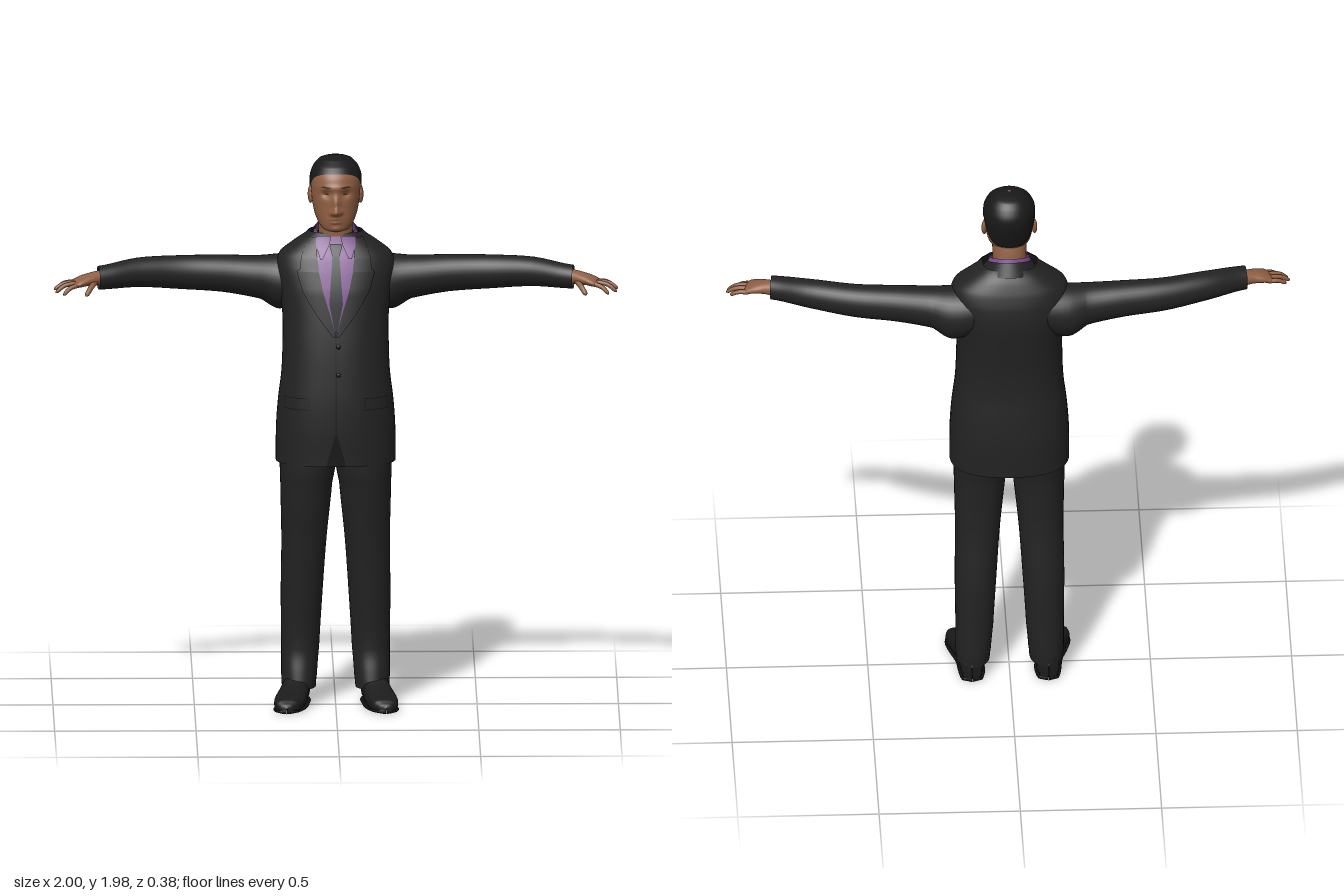
import * as THREE from 'three';

const mat = (name, color, side = THREE.FrontSide) => {
  const m = new THREE.MeshStandardMaterial({ color, side });
  m.name = name;
  return m;
};

// Value of a table of rows at key k (first column), smooth or linear between rows
function at(rows, k, smooth = true) {
  let i = 0;
  while (i < rows.length - 2 && (k - rows[i][0]) * (k - rows[i + 1][0]) > 0) i++;
  const b = rows[i], c = rows[i + 1];
  const a = rows[Math.max(i - 1, 0)], d = rows[Math.min(i + 2, rows.length - 1)];
  const t = THREE.MathUtils.clamp((k - b[0]) / (c[0] - b[0]), 0, 1);
  return b.map((v, j) => {
    if (j === 0) return k;
    if (!smooth) return v + (c[j] - v) * t;
    const m0 = (c[j] - a[j]) / 2, m1 = (d[j] - v) / 2, t2 = t * t, t3 = t2 * t;
    return (2 * t3 - 3 * t2 + 1) * v + (t3 - 2 * t2 + t) * m0 + (3 * t2 - 2 * t3) * c[j] + (t3 - t2) * m1;
  });
}

// Key at fraction v of the table, with equal steps per row
function keyAt(rows, v) {
  const f = v * (rows.length - 1), i = Math.min(Math.floor(f), rows.length - 2);
  return rows[i][0] + (rows[i + 1][0] - rows[i][0]) * (f - i);
}

// Surface from a function of (u, v); wrap joins the u ends smoothly
function surface(name, material, nu, nv, wrap, fn) {
  const pos = [], index = [], cols = wrap ? nu : nu + 1;
  for (let j = 0; j <= nv; j++) for (let i = 0; i < cols; i++) pos.push(...fn(i / nu, j / nv));
  for (let j = 0; j < nv; j++) for (let i = 0; i < nu; i++) {
    const a = j * cols + i, b = j * cols + (i + 1) % cols;
    index.push(a, a + cols, b, b, a + cols, b + cols);
  }
  const g = new THREE.BufferGeometry();
  g.setAttribute('position', new THREE.Float32BufferAttribute(pos, 3));
  g.setIndex(index);
  g.computeVertexNormals();
  const mesh = new THREE.Mesh(g, material);
  mesh.name = name;
  return mesh;
}

const pow = (v, p) => Math.sign(v) * Math.abs(v) ** p;

// Upright cross-section rows: [y, centre x, half width, front z, back z]
function ring(rows, y, a, n) {
  const [, xc, rx, zf, zb] = at(rows, y);
  return [xc + rx * pow(Math.cos(a), 2 / n), y, (zf + zb) / 2 + (zf - zb) / 2 * pow(Math.sin(a), 2 / n)];
}
const upright = (name, material, rows, n = 2.2, nu = 40) =>
  surface(name, material, nu, (rows.length - 1) * 5, true, (u, v) => ring(rows, keyAt(rows, v), u * Math.PI * 2, n));
function frontZ(rows, n, x, y) {
  const [, xc, rx, zf, zb] = at(rows, y);
  const q = Math.min(Math.abs((x - xc) / rx), 1);
  return (zf + zb) / 2 + (zf - zb) / 2 * (1 - q ** n) ** (1 / n);
}

// Sideways limb rows: [x, centre y, half height, centre z, half depth]
const sideways = (name, material, rows) =>
  surface(name, material, 32, (rows.length - 1) * 5, true, (u, v) => {
    const x = keyAt(rows, v), [, y, ry, z, rz] = at(rows, x);
    const dz = (at(rows, x + 0.01)[3] - at(rows, x - 0.01)[3]) / 0.02, l = Math.hypot(1, dz);
    const a = u * Math.PI * 2, s = Math.sin(a) * rz;
    return [x + s * dz / l, y + ry * Math.cos(a), z - s / l];
  });

// Tapered finger with a rounded tip
function finger(name, material, pts, r) {
  const curve = new THREE.CatmullRomCurve3(pts.map(p => new THREE.Vector3(...p)));
  const { normals, binormals } = curve.computeFrenetFrames(16);
  return surface(name, material, 12, 16, true, (u, v) => {
    const a = u * Math.PI * 2, i = Math.round(v * 16);
    const k = r * (1 - 0.25 * v) * Math.sqrt(Math.max(1 - Math.max((v - 0.82) / 0.18, 0) ** 2, 0.0004));
    return curve.getPointAt(v).addScaledVector(normals[i], k * Math.cos(a)).addScaledVector(binormals[i], -k * Math.sin(a)).toArray();
  });
}

// Thin patch lying on a front surface; rows run top to bottom: [y, x from, x to]
const panel = (name, material, rows, z, off) =>
  surface(name, material, 10, (rows.length - 1) * 5, false, (u, v) => {
    const y = keyAt(rows, v), [, x0, x1] = at(rows, y, false), x = x0 + (x1 - x0) * u;
    return [x, y, z(x, y) + off];
  });

const TORSO = [[0.88, 0, 0.212, 0.14, -0.183], [1.0, 0, 0.211, 0.146, -0.186], [1.1, 0, 0.204, 0.146, -0.18],
  [1.2, 0, 0.192, 0.14, -0.17], [1.3, 0, 0.188, 0.131, -0.17], [1.4, 0, 0.188, 0.118, -0.18], [1.5, 0, 0.2, 0.101, -0.189],
  [1.57, 0, 0.21, 0.08, -0.182], [1.62, 0, 0.197, 0.06, -0.167], [1.66, 0, 0.147, 0.038, -0.148], [1.7, 0, 0.095, 0.025, -0.125]];
const HEAD = [[1.708, 0, 0.002, 0.056, 0.05], [1.714, 0, 0.024, 0.078, 0.025], [1.722, 0, 0.046, 0.089, 0], [1.74, 0, 0.061, 0.094, -0.04],
  [1.77, 0, 0.074, 0.095, -0.08], [1.8, 0, 0.081, 0.094, -0.095], [1.84, 0, 0.086, 0.094, -0.108], [1.88, 0, 0.088, 0.092, -0.117],
  [1.91, 0, 0.086, 0.083, -0.115], [1.94, 0, 0.073, 0.06, -0.1], [1.96, 0, 0.053, 0.03, -0.08], [1.969, 0, 0.028, 0.002, -0.05], [1.972, 0, 0.002, -0.02, -0.024]];
const torsoZ = (x, y) => frontZ(TORSO, 2.4, x, y);

// Relief of the face: nose, eye sockets, brow, lips and chin
const bump = (v, w) => Math.exp(-((v / w) ** 2));
function relief(x, y) {
  const m = Math.abs(x);
  return bump(x, 0.013) * (0.027 * bump(y - 1.788, 0.014) + 0.015 * bump(y - 1.818, 0.026))
    + 0.008 * bump(m - 0.016, 0.008) * bump(y - 1.785, 0.009)
    - 0.012 * bump(m - 0.035, 0.017) * bump(y - 1.85, 0.013)
    + 0.005 * bump(x, 0.055) * bump(y - 1.873, 0.01)
    + 0.007 * bump(x, 0.022) * (bump(y - 1.763, 0.005) + bump(y - 1.751, 0.005))
    + 0.005 * bump(x, 0.02) * bump(y - 1.726, 0.01);
}
const faceZ = (x, y) => frontZ(HEAD, 2.1, x, y) + relief(x, y);

export function createModel() {
  const model = new THREE.Group();
  model.name = 'suitedMan';
  const suit = mat('suit cloth', 0x232323, THREE.DoubleSide), seam = mat('seam', 0x141414, THREE.DoubleSide);
  const skin = mat('skin', 0x8f5e41), hair = mat('hair', 0x191919, THREE.DoubleSide);
  const shirt = mat('shirt', 0x7b4d8e, THREE.DoubleSide), tieCloth = mat('tie', 0x1d1b20, THREE.DoubleSide);
  const leather = mat('shoe leather', 0x1b1b1b), soleMat = mat('sole', 0x101010), eyeMat = mat('eye and brow', 0x3d271b, THREE.DoubleSide);

  // Jacket, shirt front and tie
  model.add(upright('jacket', suit, TORSO, 2.4, 64));
  model.add(panel('shirtFront', shirt, [[1.69, -0.06, 0.06], [1.6, -0.066, 0.066], [1.5, -0.048, 0.048], [1.36, -0.004, 0.004]], torsoZ, 0.004));
  model.add(panel('tieBlade', tieCloth, [[1.63, -0.012, 0.012], [1.46, -0.024, 0.024], [1.36, -0.004, 0.004]], torsoZ, 0.008));
  model.add(panel('tieKnot', tieCloth, [[1.665, -0.02, 0.02], [1.655, -0.022, 0.022], [1.625, -0.012, 0.012]], torsoZ, 0.013));
  model.add(panel('jacketClosure', seam, [[1.345, -0.002, 0.002], [1.0, -0.002, 0.002]], torsoZ, 0.003));
  model.add(panel('hemOpening', seam, [[1.0, -0.002, 0.002], [0.88, -0.036, 0.036]], torsoZ, 0.003));
  for (const y of [1.31, 1.21]) {
    const button = new THREE.Mesh(new THREE.SphereGeometry(0.008, 12, 8), seam);
    button.name = 'button';
    button.scale.z = 0.5;
    button.position.set(0.008, y, torsoZ(0, y) + 0.003);
    model.add(button);
  }

  // Collars: sloping bands round the neck
  const band = (name, material, r0, r1, y0, y1, drop, from, to) =>
    surface(name, material, 48, 5, false, (u, v) => {
      const a = from + (to - from) * u, r = r0 + (r1 - r0) * v;
      return [r * Math.cos(a), y0 + (y1 - y0) * v - drop * Math.sin(a), -0.035 + r * Math.sin(a)];
    });
  model.add(band('shirtCollar', shirt, 0.088, 0.07, 1.665, 1.712, 0.03, Math.PI * 0.58, Math.PI * 2.42));
  model.add(band('jacketCollar', suit, 0.106, 0.08, 1.65, 1.698, 0.034, Math.PI * 0.83, Math.PI * 2.17));

  // Head with moulded face, hair cap, neck
  model.add(surface('head', skin, 120, 84, true, (u, v) => {
    const a = u * Math.PI * 2, p = ring(HEAD, keyAt(HEAD, v), a, 2.1);
    if (Math.sin(a) > 0) p[2] += relief(p[0], p[1]) * Math.min(1, Math.sin(a) * 3);
    return p;
  }));
  const HAIRLINE = [[-1, 1.783], [-0.75, 1.788], [-0.5, 1.82], [-0.4, 1.85], [-0.14, 1.875], [0.15, 1.862], [0.35, 1.885], [0.6, 1.907], [1, 1.922]];
  model.add(surface('hair', hair, 80, 30, true, (u, v) => {
    const a = u * Math.PI * 2, y0 = at(HAIRLINE, Math.sin(a))[1];
    const p = ring(HEAD, y0 + (1.972 - y0) * Math.sin(v * Math.PI / 2), a, 2.1);
    return [p[0] + 0.004 * Math.cos(a), p[1] + 0.003 * v, p[2] + 0.004 * Math.sin(a)];
  }));
  model.add(upright('neck', skin, [[1.62, 0, 0.064, 0.03, -0.102], [1.72, 0, 0.06, 0.03, -0.096], [1.77, 0, 0.061, 0.03, -0.085], [1.82, 0, 0.06, 0.02, -0.07]]));

  // One side of the body, built twice
  const LAPEL = [[1.685, 0.066, 0.095], [1.62, 0.066, 0.12], [1.578, 0.06, 0.124], [1.57, 0.06, 0.136], [1.5, 0.045, 0.115], [1.42, 0.02, 0.066], [1.345, 0, 0.008]];
  const ARM = [[0.1, 1.53, 0.085, -0.075, 0.09], [0.2, 1.51, 0.098, -0.075, 0.09], [0.27, 1.527, 0.077, -0.066, 0.072], [0.4, 1.541, 0.066, -0.06, 0.061],
    [0.55, 1.548, 0.06, -0.046, 0.054], [0.7, 1.555, 0.052, -0.006, 0.05], [0.84, 1.547, 0.042, 0.054, 0.043]];
  const PALM = [[0.79, 1.547, 0.03, 0.033, 0.028], [0.85, 1.546, 0.025, 0.058, 0.03], [0.89, 1.541, 0.02, 0.073, 0.039], [0.92, 1.533, 0.015, 0.083, 0.042], [0.938, 1.527, 0.002, 0.088, 0.03]];
  const LEG = [[0.06, 0.13, 0.06, 0.045, -0.128], [0.1, 0.129, 0.063, 0.04, -0.131], [0.2, 0.125, 0.067, 0.022, -0.13], [0.4, 0.12, 0.074, 0.046, -0.13],
    [0.6, 0.112, 0.08, 0.075, -0.113], [0.8, 0.104, 0.092, 0.108, -0.118], [0.88, 0.098, 0.1, 0.12, -0.13], [0.96, 0.095, 0.1, 0.12, -0.13]];
  const FINGERS = [['littleFinger', [0.92, 1.532, 0.05], [0.958, 1.53, 0.054], [0.985, 1.515, 0.06]], ['ringFinger', [0.918, 1.535, 0.07], [0.965, 1.53, 0.08], [0.998, 1.51, 0.088]],
    ['middleFinger', [0.913, 1.535, 0.092], [0.96, 1.528, 0.104], [0.993, 1.503, 0.113]], ['indexFinger', [0.905, 1.532, 0.108], [0.94, 1.522, 0.124], [0.965, 1.498, 0.134]],
    ['thumb', [0.85, 1.538, 0.075], [0.868, 1.52, 0.112], [0.885, 1.495, 0.137]]];
  // Shoe rows: [z, centre x, half width, height]
  const SHOE = [[-0.131, 0.135, 0.001, 0.06], [-0.12, 0.135, 0.034, 0.085], [-0.06, 0.135, 0.045, 0.11], [0, 0.14, 0.046, 0.11], [0.06, 0.152, 0.053, 0.082],
    [0.12, 0.165, 0.054, 0.06], [0.165, 0.172, 0.042, 0.046], [0.184, 0.175, 0.022, 0.032], [0.19, 0.176, 0.001, 0.02]];
  const shoe = (name, material, grow, height) => surface(name, material, 32, 40, true, (u, v) => {
    const z = keyAt(SHOE, v), [, xc, rx, h] = at(SHOE, z), a = u * Math.PI * 2, top = height || h;
    return [xc + (rx + grow) * pow(Math.cos(a), 0.75), top / 2 * (1 - pow(Math.sin(a), 0.75)), z];
  });

  for (const s of [1, -1]) {
    const half = new THREE.Group();
    half.name = s > 0 ? 'leftSide' : 'rightSide';
    half.scale.x = s;
    half.add(sideways('sleeve', suit, ARM), sideways('palm', skin, PALM));
    for (const [name, ...pts] of FINGERS) half.add(finger(name, skin, pts, name === 'thumb' ? 0.011 : 0.009));
    half.add(upright('trouserLeg', suit, LEG), shoe('shoe', leather, 0, 0), shoe('sole', soleMat, 0.003, 0.014));
    half.add(panel('lapelEdge', seam, LAPEL.map(([y, a, b]) => [y, a, b + 0.003]), torsoZ, 0.006));
    half.add(panel('lapel', suit, LAPEL, torsoZ, 0.009));
    half.add(panel('collarPoint', shirt, [[1.69, 0.016, 0.07], [1.66, 0.024, 0.07], [1.615, 0.046, 0.056]], torsoZ, 0.012));
    half.add(panel('pocketShadow', seam, [[1.125, 0.098, 0.184], [1.082, 0.098, 0.184]], torsoZ, 0.003));
    half.add(panel('pocketFlap', suit, [[1.125, 0.1, 0.182], [1.086, 0.1, 0.182]], torsoZ, 0.006));
    half.add(panel('eyebrow', eyeMat, [[1.879, 0.03, 0.045], [1.875, 0.016, 0.055], [1.872, 0.016, 0.03]], faceZ, 0.002));
    half.add(panel('eye', eyeMat, [[1.853, 0.03, 0.04], [1.85, 0.023, 0.047], [1.847, 0.03, 0.04]], faceZ, 0.002));
    const ear = new THREE.Mesh(new THREE.SphereGeometry(1, 20, 14), skin);
    ear.name = 'ear';
    ear.scale.set(0.01, 0.032, 0.018);
    ear.position.set(0.088, 1.832, -0.028);
    ear.rotation.set(-0.2, -0.25, 0);
    half.add(ear);
    model.add(half);
  }
  return model;
}
